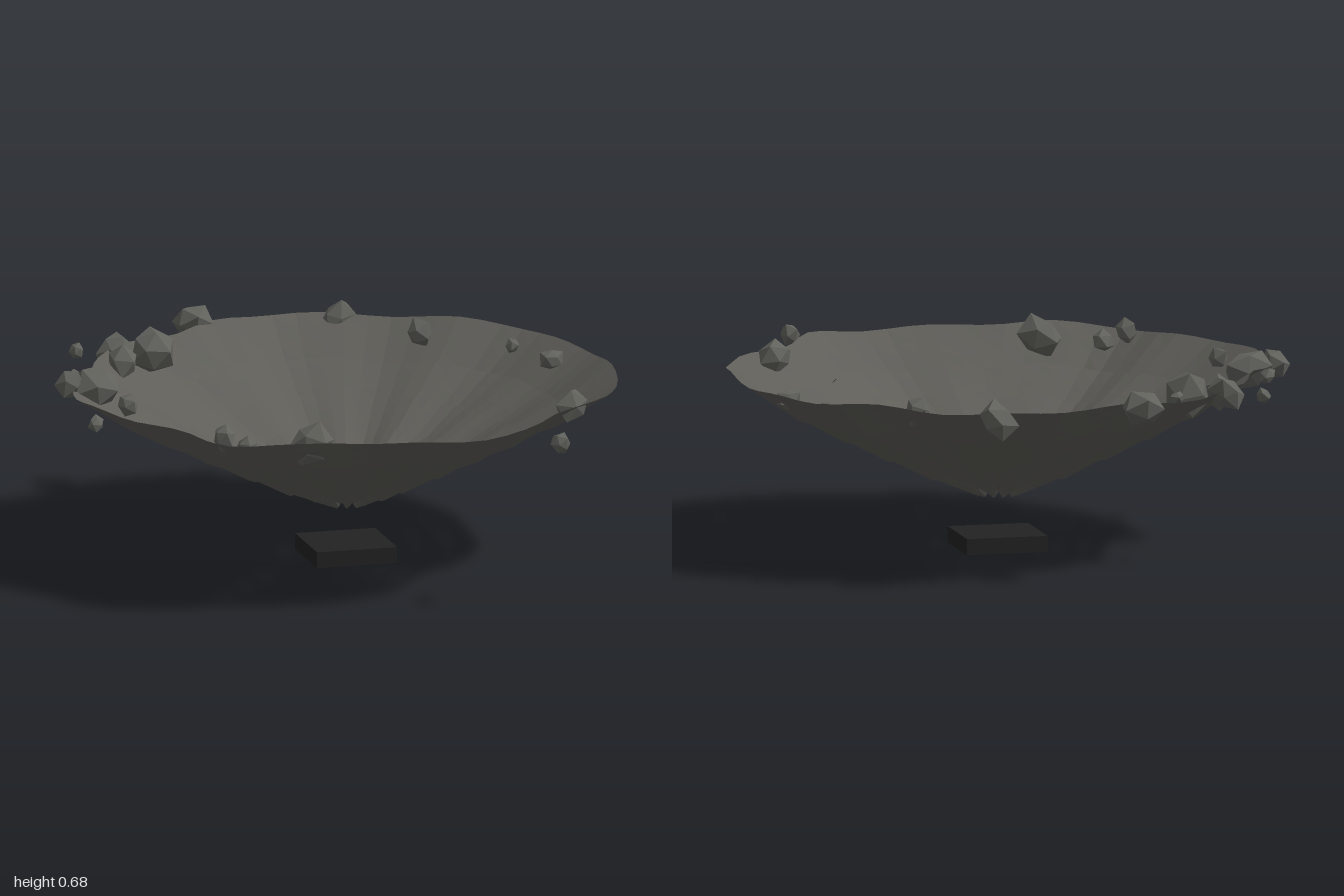
import * as THREE from 'three';

const CX = 0.025, CZ = -0.015, SEG = 72;

// Rim outline: [angle in degrees, radius]
const RIM = [[4, .912], [16, .918], [29, .909], [46, .849], [65, .944], [77, .94], [103, .904], [119, .969],
  [128, .98], [143, .915], [159, .929], [176, .946], [187, .932], [202, .863], [217, .889], [233, .913],
  [245, .875], [260, .918], [275, .949], [290, .929], [310, .916], [325, .938], [341, .92], [364, .912]];

function rimRadius(a) {
  let d = THREE.MathUtils.euclideanModulo(a * 180 / Math.PI, 360);
  if (d < 4) d += 360;
  const i = RIM.findIndex((p, k) => k > 0 && p[0] >= d);
  const [a0, r0] = RIM[i - 1], [a1, r1] = RIM[i];
  return r0 + (r1 - r0) * THREE.MathUtils.smoothstep(d, a0, a1);
}

// Point on a band edge: wavy in radius, pleated in height
function edgePoint(a, radius, y, shift) {
  const wave = rimRadius(a + shift) / 0.92;
  const r = radius < 0.1 ? radius : radius * wave;
  const lift = 0.011 * Math.sin(13 * a + 0.4) * (1 - 0.5 * radius) + 0.007 * radius * Math.sin(7 * a + 1);
  return [CX + r * Math.cos(a), y + lift, CZ + r * Math.sin(a)];
}

// Ring-shaped band of the funnel
function band(r0, y0, r1, y1, shift) {
  const pos = [], idx = [], rows = 3;
  for (let j = 0; j <= rows; j++) {
    const t = j / rows;
    for (let i = 0; i < SEG; i++) {
      pos.push(...edgePoint(i / SEG * Math.PI * 2, r0 + (r1 - r0) * t, y0 + (y1 - y0) * t, shift * (1 - t)));
    }
  }
  for (let j = 0; j < rows; j++) {
    for (let i = 0; i < SEG; i++) {
      const n = (i + 1) % SEG, a = j * SEG + i, b = j * SEG + n;
      idx.push(a, a + SEG, b, b, a + SEG, b + SEG);
    }
  }
  const g = new THREE.BufferGeometry();
  g.setAttribute('position', new THREE.Float32BufferAttribute(pos, 3));
  g.setIndex(idx);
  g.computeVertexNormals();
  return g;
}

// Angular boulder, each corner pushed in or out by a rule
function boulder(radius, seed) {
  const g = new THREE.IcosahedronGeometry(radius, 0), p = g.attributes.position;
  const v = new THREE.Vector3();
  for (let i = 0; i < p.count; i++) {
    v.fromBufferAttribute(p, i);
    const u = v.clone().divideScalar(radius);
    const k = 0.96 + 0.17 * Math.sin(u.x * 5.1 + u.y * 7.3 + u.z * 3.7 + seed * 2.1);
    p.setXYZ(i, v.x * k, v.y * k * 0.85, v.z * k);
  }
  g.computeVertexNormals();
  return g;
}

export function createModel() {
  const model = new THREE.Group();
  const earth = new THREE.MeshStandardMaterial({ color: 0x5e5d58, side: THREE.DoubleSide, flatShading: true });
  earth.name = 'scorched earth';
  const stone = new THREE.MeshStandardMaterial({ color: 0x62625d, flatShading: true });
  stone.name = 'grey stone';
  const dark = new THREE.MeshStandardMaterial({ color: 0x222222 });
  dark.name = 'charcoal';

  // Crater bands: inner radius, inner height, outer radius, outer height
  const crater = new THREE.Group();
  crater.name = 'crater';
  [[.07, .19, .245, .262], [.24, .252, .405, .338], [.402, .326, .57, .416],
    [.567, .404, .735, .498], [.733, .486, .92, .612]].forEach(([r0, y0, r1, y1], i) => {
    const m = new THREE.Mesh(band(r0, y0, r1, y1, i ? 0.06 : 0), earth);
    m.name = 'craterBand' + (i + 1);
    crater.add(m);
  });
  model.add(crater);

  // Square slab below the funnel
  const slab = new THREE.Mesh(new THREE.BoxGeometry(0.28, 0.055, 0.28), dark);
  slab.position.set(CX, 0.0275, -0.01);
  slab.name = 'baseSlab';
  model.add(slab);

  // Boulders scattered around the rim: x, y, z, radius
  const boulders = new THREE.Group();
  boulders.name = 'boulders';
  [[-.26, .61, -.922, .078], [.245, .59, -.925, .068], [.47, .585, -.685, .052], [.735, .575, -.47, .028],
    [.81, .575, -.25, .042], [.68, .595, .475, .068], [.51, .59, .96, .04], [-.305, .59, .735, .076],
    [-.585, .61, .655, .046], [-.51, .575, .67, .042], [-.915, .58, .23, .03], [-.765, .6, .095, .042],
    [-.895, .62, -.18, .058], [-.8, .605, -.19, .083], [-.835, .6, -.32, .032], [-.73, .6, -.695, .03],
    [-.615, .605, -.645, .066], [-.615, .59, -.535, .066], [-.49, .605, -.605, .086], [-.435, .6, -.68, .03],
  ].forEach(([x, y, z, r], i) => {
    const m = new THREE.Mesh(boulder(r, i), stone);
    m.position.set(x, y, z);
    m.rotation.set(i * 1.3, i * 2.1, i * 0.7);
    m.name = 'boulder' + (i + 1);
    boulders.add(m);
  });
  model.add(boulders);
  return model;
}
